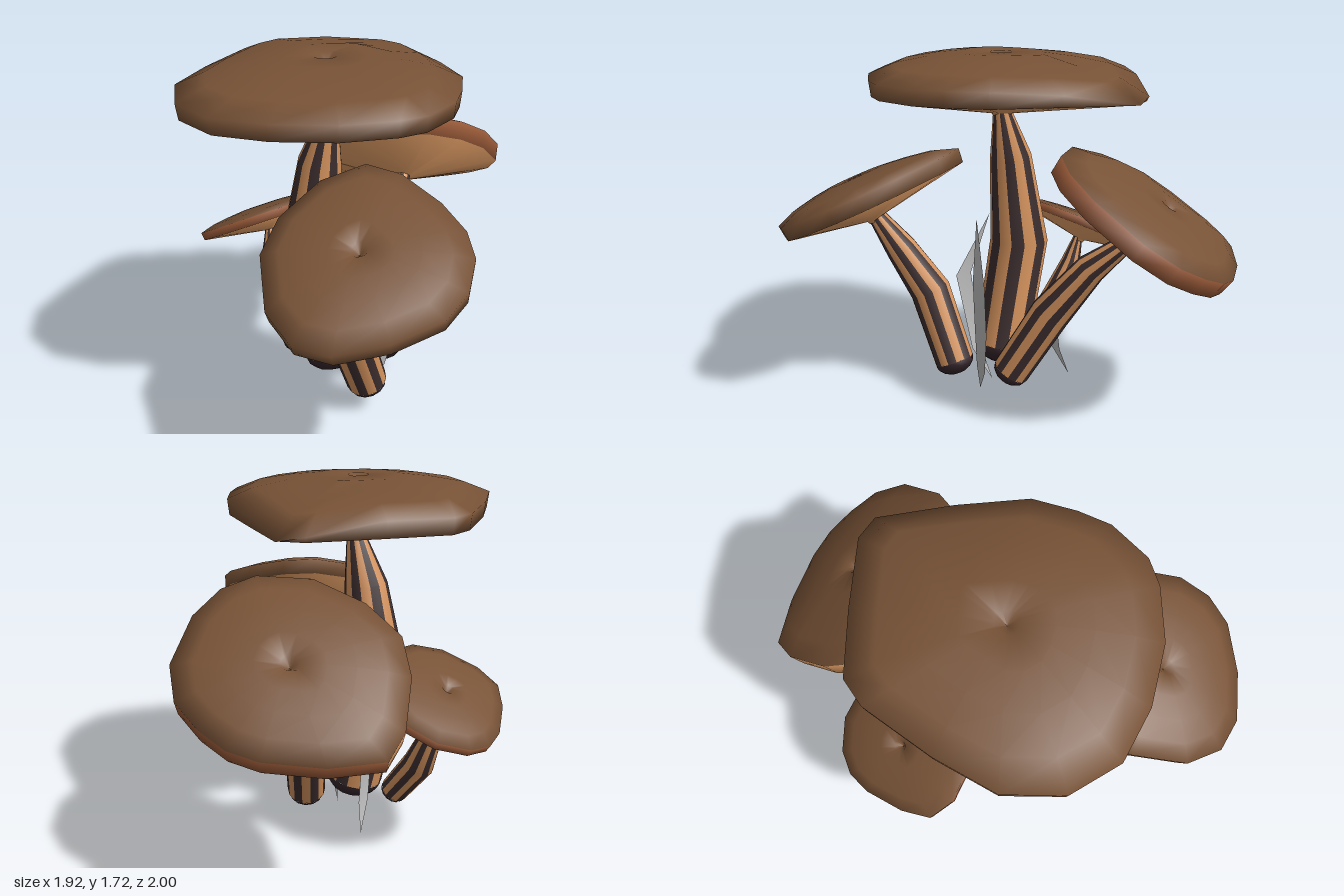
import * as THREE from 'three';

const paint = (name, color, side = THREE.FrontSide) => {
  const m = new THREE.MeshStandardMaterial({ color, side });
  m.name = name;
  return m;
};
const V = (x, y, z) => new THREE.Vector3(x, y, z);

// Smooth skin between closed rings of points, ordered bottom to top.
// groupOf(row, strip) picks the material index of each quad.
function loft(rings, groupCount, groupOf) {
  const n = rings[0].length, last = rings.length - 1;
  const buckets = Array.from({ length: groupCount }, () => []);
  const normals = [];
  const step = (i, j) => i < 0 || i >= last ? V(0, 0, 0) : rings[i + 1][j].clone().sub(rings[i][j]).normalize();
  for (let i = 0; i <= last; i++) {
    const around = rings[i === last ? i - 1 : i];
    for (let j = 0; j < n; j++) {
      const k = (j + 1) % n;
      const along = step(i - 1, j).add(step(i, j));
      const normal = around[k].clone().sub(around[(j + n - 1) % n]).cross(along).normalize();
      normals.push(...normal.toArray());
      if (i < last) {
        const a = i * n + j, b = i * n + k, c = a + n, d = b + n;
        buckets[groupOf(i, j)].push(a, b, d, a, d, c);
      }
    }
  }
  const g = new THREE.BufferGeometry().setFromPoints(rings.flat());
  g.setAttribute('normal', new THREE.Float32BufferAttribute(normals, 3));
  g.setIndex(buckets.flat());
  let start = 0;
  buckets.forEach((b, m) => {
    g.addGroup(start, b.length, m);
    start += b.length;
  });
  return g;
}

function part(name, geometry, material) {
  const mesh = new THREE.Mesh(geometry, material);
  mesh.name = name;
  return mesh;
}

export function createModel() {
  const brown = paint('cap brown', 0x775236);
  const rust = paint('cap rim rust', 0x965837);
  const tan = paint('gill tan', 0xdc9a63);
  const light = paint('stem light stripe', 0xd6945e);
  const dark = paint('stem dark stripe', 0x3d2e2f);
  const root = paint('stem base', 0x33242a);
  const grey = paint('grass grey', 0xbcbcbc, THREE.DoubleSide);
  const model = new THREE.Group();
  model.name = 'mushroomCluster';

  // Irregular cap: outline in plan [x, z, rim factor], lying on a sloped plane.
  // tanRim(x, z) tells where the gill colour runs up over the rim.
  function cap(name, { centre, slope, outline, rim, lift, depth, rimPaint, tanRim = () => false }) {
    const [cx, cy, cz] = centre, [sx, sz] = slope;
    const normal = V(-sx, 1, -sz).normalize();
    const pts = outline.map(([x, z, f = 1]) => [x - cx, z - cz, f])
      .sort((a, b) => Math.atan2(b[1], b[0]) - Math.atan2(a[1], a[0]));
    const ring = (s, h, pinch = 0) => pts.map(([x, z, f]) =>
      V(cx + x * s, cy + (sx * x + sz * z) * s, cz + z * s)
        .addScaledVector(normal, h - pinch * (1 - f)));
    const t = rim / 2;
    const rings = [
      ring(0.06, -depth - 0.015), ring(0.08, -depth), ring(0.985, -t), // collar and underside
      ring(1, t, rim), // rim
      ring(0.8, t + (lift - t) * 0.5, t), ring(0.55, t + (lift - t) * 0.8, t),
      ring(0.3, lift), ring(0.08, lift), ring(0, lift - 0.04), // top with a small dent
    ];
    const groupOf = (i, j) => {
      if (i !== 2) return i < 2 ? 0 : 2;
      return tanRim(cx + pts[j][0], cz + pts[j][1]) ? 0 : 1;
    };
    model.add(part(name, loft(rings, 3, groupOf), [tan, rimPaint, brown]));
  }

  // Striped stem through [x, y, z, radius] stations, with a rounded base
  function stem(name, stations) {
    const n = 14, p = stations.map(([x, y, z]) => V(x, y, z));
    const tangent = i => p[Math.min(i + 1, p.length - 1)].clone().sub(p[Math.max(i - 1, 0)]).normalize();
    const rings = p.map((c, i) => {
      const t = tangent(i);
      const v = V(1, 0, 0).cross(t).negate().normalize();
      const u = v.clone().cross(t);
      return Array.from({ length: n }, (_, j) => {
        const a = (j + 0.5) / n * Math.PI * 2, r = stations[i][3];
        return c.clone().addScaledVector(u, r * Math.cos(a)).addScaledVector(v, r * Math.sin(a));
      });
    });
    const r = stations[0][3];
    const bulb = part('stemBase', new THREE.SphereGeometry(r, n, 4, 0, Math.PI * 2, Math.PI / 2, Math.PI / 2), root);
    bulb.scale.y = 0.7;
    bulb.position.copy(p[0]);
    bulb.quaternion.setFromUnitVectors(V(0, 1, 0), tangent(0));
    const g = new THREE.Group();
    g.name = name;
    g.add(part('stripedStem', loft(rings, 2, (i, j) => j % 2), [light, dark]), bulb);
    model.add(g);
  }

  // Grass blade from pairs of edge points
  function blade(name, pairs) {
    const g = new THREE.BufferGeometry().setFromPoints(pairs.flat().map(q => V(...q)));
    const index = [];
    for (let i = 0; i < pairs.length - 1; i++) {
      const a = i * 2;
      index.push(a, a + 1, a + 3, a, a + 3, a + 2);
    }
    g.setIndex(index);
    g.computeVertexNormals();
    model.add(part(name, g, grey));
  }

  cap('mainCap', {
    centre: [-0.11, 1.582, 0.22], slope: [0, 0], rim: 0.075, lift: 0.142, depth: 0.155, rimPaint: brown,
    outline: [[-0.25, 0.92], [0, 0.92], [0.22, 0.79], [0.42, 0.59], [0.54, 0.37], [0.57, 0.24], [0.52, 0.03],
      [0.43, -0.1], [0.29, -0.25], [0, -0.4, 0.7], [-0.32, -0.55, 0], [-0.43, -0.49, 0.3], [-0.62, -0.2],
      [-0.78, 0.06], [-0.77, 0.2], [-0.63, 0.52], [-0.48, 0.78]],
  });
  cap('frontCap', {
    centre: [0.5, 1.02, 0.55], slope: [-0.28, -0.36], rim: 0.07, lift: 0.105, depth: 0.125, rimPaint: brown,
    outline: [[0.17, 0.82], [0.4, 0.97], [0.59, 0.99], [0.74, 0.91], [0.87, 0.72], [0.95, 0.5], [0.93, 0.35],
      [0.84, 0.22], [0.72, 0.15], [0.54, 0.12], [0.3, 0.13], [0.14, 0.2], [0.06, 0.4], [0.08, 0.65]],
  });
  cap('backCap', {
    centre: [-0.42, 0.975, -0.57], slope: [0.47, 0.52], rim: 0.09, lift: 0.12, depth: 0.155, rimPaint: rust,
    tanRim: (x, z) => x < -0.42 && z > -0.6,
    outline: [[-0.94, -0.56], [-0.78, -0.74], [-0.57, -0.9], [-0.44, -0.96], [-0.3, -0.98], [-0.15, -0.97],
      [-0.02, -0.88], [0.07, -0.67], [0.07, -0.5], [0, -0.35], [-0.2, -0.19], [-0.45, -0.12], [-0.66, -0.13],
      [-0.8, -0.24], [-0.92, -0.43]],
  });
  cap('smallCap', {
    centre: [-0.66, 0.745, 0.2], slope: [0.53, 0], rim: 0.04, lift: 0.06, depth: 0.075, rimPaint: rust,
    outline: [[-0.95, 0.15], [-0.93, 0.03], [-0.84, -0.1], [-0.72, -0.16], [-0.55, -0.15], [-0.42, -0.03],
      [-0.36, 0.15], [-0.37, 0.33], [-0.45, 0.47], [-0.6, 0.56], [-0.72, 0.56], [-0.82, 0.45], [-0.92, 0.27]],
  });

  stem('mainStem', [[-0.115, 0.185, 0.22, 0.143], [-0.24, 0.74, 0.24, 0.15], [-0.17, 1.2, 0.22, 0.105],
    [-0.11, 1.44, 0.21, 0.045]]);
  stem('frontStem', [[0.175, 0.155, 0.24, 0.1], [0.22, 0.51, 0.39, 0.105], [0.34, 0.74, 0.47, 0.08],
    [0.45, 0.92, 0.51, 0.045]]);
  stem('backStem', [[0.0, 0.15, -0.02, 0.095], [-0.13, 0.48, -0.17, 0.1], [-0.24, 0.74, -0.34, 0.075],
    [-0.35, 0.9, -0.49, 0.04]]);
  stem('smallStem', [[-0.34, 0.15, 0.27, 0.07], [-0.5, 0.35, 0.25, 0.078], [-0.59, 0.55, 0.23, 0.052],
    [-0.62, 0.69, 0.21, 0.024]]);

  blade('frontGrass', [[[-0.03, 0.01, 0.19], [-0.03, 0.01, 0.19]], [[0.01, 0.18, 0.23], [0.07, 0.2, 0.23]],
    [[0.04, 0.6, 0.28], [0.13, 0.6, 0.28]], [[-0.03, 0.92, 0.21], [-0.03, 0.92, 0.21]]]);
  blade('sideGrass', [[[0.07, 0, 0.16], [0.07, 0, 0.16]], [[0.11, 0.15, 0.13], [0.11, 0.13, 0.06]],
    [[0.14, 0.36, 0.1], [0.14, 0.36, 0]], [[0.15, 0.62, 0.1], [0.15, 0.62, 0]],
    [[0.09, 0.93, 0.15], [0.09, 0.93, 0.15]]]);
  blade('shortGrass', [[[-0.37, 0.03, -0.03], [-0.37, 0.03, -0.03]], [[-0.33, 0.17, 0], [-0.33, 0.17, 0.07]],
    [[-0.32, 0.37, 0.03], [-0.32, 0.37, 0.1]], [[-0.37, 0.56, 0.02], [-0.37, 0.56, 0.02]]]);

  return model;
}
